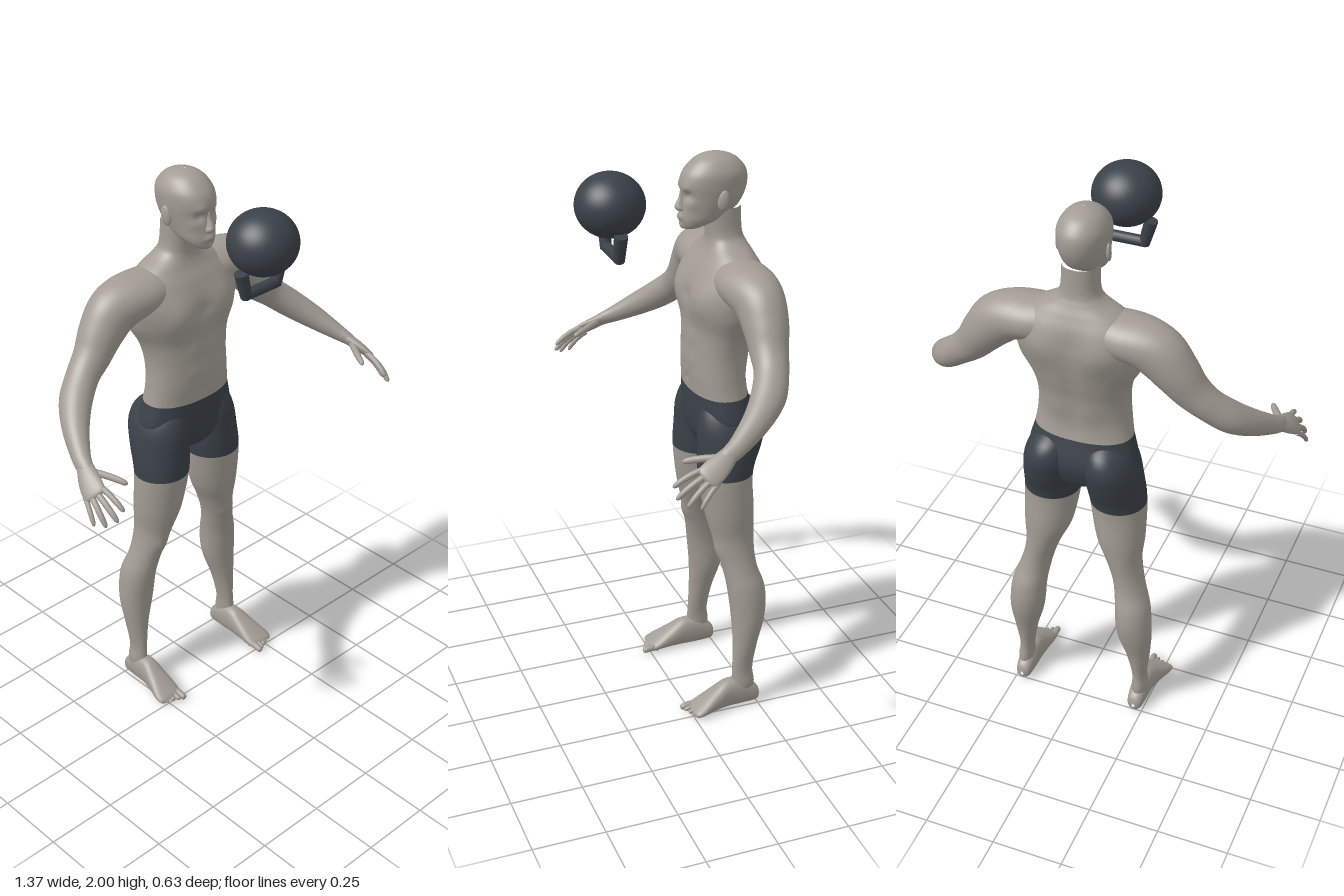
import * as THREE from 'three';

const X = new THREE.Vector3(1, 0, 0), Y = new THREE.Vector3(0, 1, 0), Z = new THREE.Vector3(0, 0, 1);

// Smooth interpolation through rows of numbers at fractional row t
function sample(rows, t) {
  const last = rows.length - 1;
  const i = Math.min(last - 1, Math.max(0, Math.floor(t))), f = t - i;
  const at = k => rows[Math.min(last, Math.max(0, k))];
  const [p, q, r, s] = [at(i - 1), at(i), at(i + 1), at(i + 2)];
  return q.map((b, k) => {
    const m0 = (r[k] - p[k]) / 2, m1 = (s[k] - b) / 2, d = r[k] - b;
    return b + f * (m0 + f * (3 * d - 2 * m0 - m1 + f * (m0 + m1 - 2 * d)));
  });
}

// Skin over cross-sections [x, y, z, a, b]; b lies along ref, a across it
function loft(rows, { ref = Z, dir = null, from = 0, to = rows.length - 1, seg = 32, steps = 6, power = 2, bumps = [] } = {}) {
  const pos = [], index = [], count = Math.round((to - from) * steps);
  for (let i = 0; i <= count; i++) {
    const t = from + (to - from) * i / count;
    const [x, y, z, a, b] = sample(rows, t);
    const p0 = sample(rows, Math.max(0, t - 0.1)), p1 = sample(rows, Math.min(rows.length - 1, t + 0.1));
    const w = dir || new THREE.Vector3(p1[0] - p0[0], p1[1] - p0[1], p1[2] - p0[2]).normalize();
    const u = new THREE.Vector3().crossVectors(ref, w).normalize();
    const v = new THREE.Vector3().crossVectors(w, u);
    for (let j = 0; j < seg; j++) {
      const th = j / seg * Math.PI * 2, c = Math.cos(th), s = Math.sin(th);
      const e = 2 / power;
      const ca = Math.sign(c) * Math.abs(c) ** e * Math.max(a, 0.0005);
      const sb = Math.sign(s) * Math.abs(s) ** e * Math.max(b, 0.0005);
      pos.push(x + u.x * ca + v.x * sb, y + u.y * ca + v.y * sb, z + u.z * ca + v.z * sb);
      if (i < count) {
        const k = i * seg + j, n = i * seg + (j + 1) % seg;
        index.push(k, n, n + seg, k, n + seg, k + seg);
      }
    }
  }
  const g = new THREE.BufferGeometry();
  g.setAttribute('position', new THREE.Float32BufferAttribute(pos, 3));
  g.setIndex(index);
  g.computeVertexNormals();
  return bumps.length ? sculpt(g, bumps) : g;
}

// Push the surface in or out around points [x, y, z, radius, amount], the same on both sides
function sculpt(g, bumps) {
  const p = g.attributes.position, n = g.attributes.normal;
  for (let i = 0; i < p.count; i++) {
    const x = p.getX(i), y = p.getY(i), z = p.getZ(i);
    let d = 0;
    for (const [bx, by, bz, r, amt] of bumps)
      d += amt * Math.exp(-((Math.abs(x) - bx) ** 2 + (y - by) ** 2 + (z - bz) ** 2) / (r * r));
    p.setXYZ(i, x + n.getX(i) * d, y + n.getY(i) * d, z + n.getZ(i) * d);
  }
  g.computeVertexNormals();
  return g;
}

function mirrored(g) {
  const m = g.clone().scale(-1, 1, 1), id = m.index.array;
  for (let i = 0; i < id.length; i += 3) [id[i], id[i + 1]] = [id[i + 1], id[i]];
  m.computeVertexNormals();
  return m;
}

// Finger or toe bending through three points
function digit(p0, p1, p2, r) {
  const curve = new THREE.CatmullRomCurve3([p0, p1, p2].map(p => new THREE.Vector3(...p)));
  const rows = [[0, 1], [0.35, 0.95], [0.7, 0.9], [0.9, 0.75], [0.97, 0.45], [1, 0.02]]
    .map(([t, k]) => [...curve.getPoint(t).toArray(), r * k, r * k]);
  return loft(rows, { ref: X, seg: 12, steps: 3 });
}

// Level cross-section from half width, front z and back z
const level = ([y, w, zf, zb]) => [0, y, (zf + zb) / 2, w, (zf - zb) / 2];

export function createModel() {
  const model = new THREE.Group();
  const skin = new THREE.MeshStandardMaterial({ color: 0xa29c94 });
  skin.name = 'skin';
  const charcoal = new THREE.MeshStandardMaterial({ color: 0x3a4148 });
  charcoal.name = 'charcoal';

  const add = (name, g, mat) => {
    const m = new THREE.Mesh(g, mat);
    m.name = name;
    model.add(m);
    return m;
  };
  const pair = (name, g, mat) => {
    add('left' + name, g, mat);
    add('right' + name, mirrored(g), mat);
  };

  // Torso and neck, with the shorts on the lowest rows
  const torso = [
    [0.965, 0.02, -0.14, -0.2], [0.985, 0.08, -0.1, -0.25], [1.03, 0.16, -0.075, -0.275], [1.09, 0.19, -0.068, -0.285],
    [1.18, 0.171, -0.068, -0.262], [1.25, 0.161, -0.062, -0.255], [1.33, 0.158, -0.062, -0.264],
    [1.41, 0.172, -0.064, -0.285], [1.49, 0.205, -0.06, -0.3], [1.56, 0.222, -0.07, -0.304],
    [1.62, 0.205, -0.092, -0.298], [1.665, 0.15, -0.118, -0.28], [1.7, 0.088, -0.13, -0.262],
    [1.735, 0.064, -0.13, -0.25], [1.82, 0.06, -0.12, -0.245]].map(level);
  const muscles = [
    [0.095, 1.525, -0.07, 0.065, 0.016], [0, 1.52, -0.06, 0.022, -0.008],        // chest
    [0.04, 1.38, -0.06, 0.028, 0.004], [0.04, 1.3, -0.06, 0.028, 0.004],         // abdomen
    [0, 1.22, -0.06, 0.012, -0.006], [0.2, 1.47, -0.21, 0.06, 0.01],             // navel, flanks
    [0.1, 1.55, -0.3, 0.065, 0.016], [0.06, 1.3, -0.265, 0.05, 0.006],           // back
    ...[1.22, 1.27, 1.32, 1.37, 1.42, 1.47, 1.52, 1.57].map(y => [0, y, -0.285, 0.03, -0.006])];
  const trunk = { dir: Y, seg: 72, steps: 8, power: 2.25, bumps: muscles };
  add('shortsHips', loft(torso, { ...trunk, to: 4 }), charcoal);
  add('torso', loft(torso, { ...trunk, from: 4 }), skin);

  // Legs, covered by the shorts from the hem up
  const leg = [
    [0.222, 0.04, -0.2, 0.026, 0.038], [0.225, 0.09, -0.2, 0.028, 0.042], [0.222, 0.15, -0.198, 0.026, 0.038],
    [0.218, 0.25, -0.208, 0.042, 0.044], [0.207, 0.36, -0.22, 0.062, 0.06], [0.198, 0.47, -0.214, 0.062, 0.067],
    [0.182, 0.54, -0.198, 0.056, 0.063], [0.167, 0.6, -0.187, 0.054, 0.067], [0.15, 0.67, -0.18, 0.062, 0.076],
    [0.134, 0.76, -0.171, 0.085, 0.088], [0.121, 0.9, -0.161, 0.098, 0.096], [0.113, 1.0, -0.178, 0.098, 0.113],
    [0.105, 1.08, -0.188, 0.092, 0.121], [0.097, 1.14, -0.185, 0.07, 0.1], [0.09, 1.18, -0.17, 0.03, 0.05]];
  const limb = { dir: Y, seg: 40, bumps: [[0.163, 0.615, -0.12, 0.03, 0.006], [0.19, 0.42, -0.28, 0.05, 0.004]] };
  pair('Leg', loft(leg, { ...limb, to: 10 }), skin);
  pair('ShortsLeg', loft(leg, { ...limb, from: 10 }), charcoal);

  // Feet and toes
  pair('Foot', loft([
    [0.222, 0.03, -0.263, 0.006, 0.008], [0.222, 0.035, -0.25, 0.026, 0.031], [0.222, 0.05, -0.2, 0.033, 0.05],
    [0.223, 0.054, -0.14, 0.036, 0.054], [0.228, 0.04, -0.085, 0.044, 0.039], [0.234, 0.024, -0.035, 0.051, 0.023],
    [0.236, 0.016, -0.008, 0.047, 0.014], [0.236, 0.014, 0.002, 0.03, 0.006]], { dir: Z, ref: Y, power: 2.3 }), skin);
  for (let i = 0; i < 5; i++) {
    const x = 0.199 + 0.0185 * i, tip = 0.031 - 0.009 * i, r = i ? 0.0095 - 0.0004 * i : 0.013;
    pair('Toe', digit([x, 0.016, -0.03], [x, 0.017, tip - 0.022], [x, 0.01, tip], r), skin);
  }

  // Arms, from inside the shoulders to the wrists
  pair('Arm', loft([
    [0.06, 1.6, -0.2, 0.07, 0.08], [0.15, 1.597, -0.2, 0.075, 0.098], [0.225, 1.588, -0.205, 0.08, 0.093],
    [0.28, 1.56, -0.209, 0.086, 0.083], [0.33, 1.505, -0.207, 0.076, 0.075], [0.378, 1.443, -0.198, 0.063, 0.064],
    [0.433, 1.392, -0.184, 0.053, 0.057], [0.495, 1.338, -0.148, 0.05, 0.057], [0.55, 1.287, -0.085, 0.042, 0.046],
    [0.595, 1.24, -0.01, 0.029, 0.034], [0.613, 1.219, 0.032, 0.021, 0.029], [0.622, 1.205, 0.055, 0.015, 0.024]],
    { seg: 40 }), skin);

  // Hands
  const across = new THREE.Vector3(0.55, -0.45, -0.7).normalize();
  pair('Palm', loft([
    [0.607, 1.226, 0.02, 0.02, 0.026], [0.627, 1.2, 0.065, 0.018, 0.037], [0.64, 1.18, 0.1, 0.014, 0.041],
    [0.646, 1.168, 0.12, 0.01, 0.034], [0.648, 1.164, 0.127, 0.002, 0.01]], { ref: across, seg: 28 }), skin);
  const digits = {
    Thumb: [[0.612, 1.212, 0.05], [0.578, 1.205, 0.105], [0.549, 1.19, 0.165], 0.0125],
    IndexFinger: [[0.622, 1.192, 0.115], [0.618, 1.172, 0.172], [0.612, 1.14, 0.218], 0.0105],
    MiddleFinger: [[0.636, 1.178, 0.108], [0.64, 1.15, 0.168], [0.635, 1.108, 0.215], 0.011],
    RingFinger: [[0.648, 1.167, 0.097], [0.66, 1.135, 0.148], [0.662, 1.088, 0.188], 0.0105],
    LittleFinger: [[0.658, 1.156, 0.083], [0.672, 1.125, 0.12], [0.68, 1.083, 0.15], 0.009]
  };
  for (const [name, d] of Object.entries(digits)) pair(name, digit(...d), skin);

  // Head with brow, eye sockets, cheeks and lips
  add('head', loft([
    [1.752, 0.012, -0.055, -0.085], [1.758, 0.034, -0.043, -0.11], [1.785, 0.057, -0.036, -0.18],
    [1.82, 0.068, -0.038, -0.232], [1.86, 0.077, -0.042, -0.257], [1.9, 0.082, -0.038, -0.267],
    [1.94, 0.08, -0.05, -0.262], [1.975, 0.06, -0.082, -0.234], [1.993, 0.032, -0.115, -0.197],
    [2.0, 0.002, -0.152, -0.158]].map(level), {
    dir: Y, seg: 72, steps: 8, power: 2.1, bumps: [
      [0.032, 1.87, -0.05, 0.017, -0.01], [0.03, 1.893, -0.045, 0.016, 0.004], [0.045, 1.845, -0.06, 0.02, 0.004],
      [0, 1.793, -0.035, 0.011, 0.006], [0.012, 1.793, -0.035, 0.01, 0.004], [0, 1.779, -0.035, 0.009, -0.004],
      [0, 1.762, -0.04, 0.014, 0.004]]
  }), skin);
  add('nose', loft([
    [1.812, 0.004, -0.035, -0.06], [1.816, 0.016, -0.026, -0.06], [1.825, 0.017, -0.019, -0.06],
    [1.838, 0.012, -0.022, -0.06], [1.86, 0.008, -0.033, -0.06], [1.885, 0.007, -0.038, -0.06],
    [1.895, 0.001, -0.045, -0.06]].map(level), { dir: Y, seg: 24 }), skin);
  const ear = new THREE.SphereGeometry(1, 20, 14).scale(0.009, 0.034, 0.019);
  ear.rotateY(-0.35).rotateX(-0.15).translate(0.081, 1.857, -0.157);
  pair('Ear', ear, skin);

  // Kettlebell hanging upside down in front of the face
  add('kettlebellBall', new THREE.SphereGeometry(0.116, 48, 32).scale(1, 0.92, 1).translate(0, 1.86, 0.203), charcoal);
  const post = new THREE.CylinderGeometry(0.023, 0.019, 0.095, 14);
  post.rotateZ(-0.26).translate(0.077, 1.735, 0.197);
  pair('KettlebellPost', post, charcoal);
  add('kettlebellGrip', new THREE.CylinderGeometry(0.019, 0.019, 0.145, 14).rotateZ(Math.PI / 2).translate(0, 1.698, 0.197), charcoal);

  return model;
}
